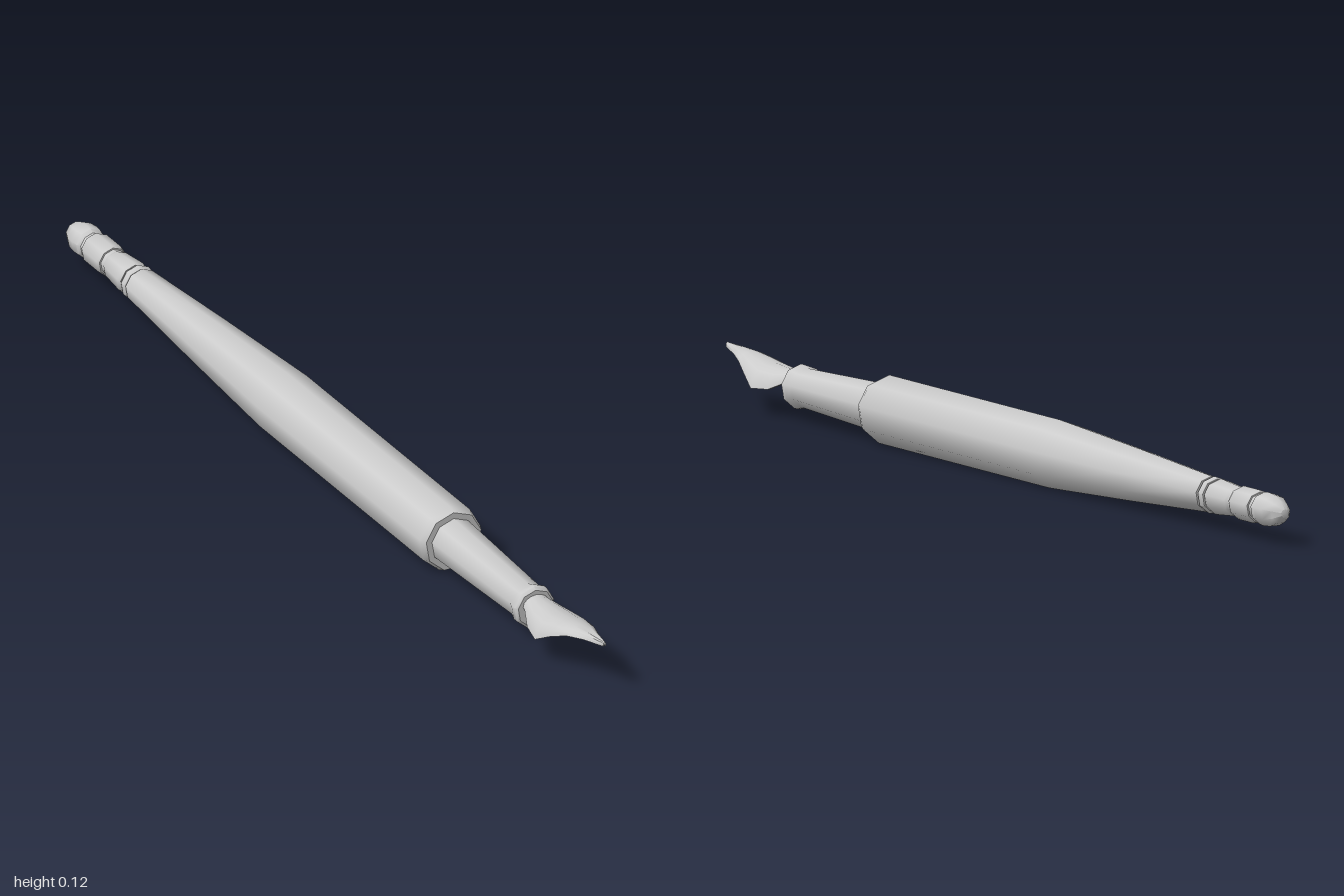
import * as THREE from 'three';
import { toCreasedNormals } from 'three/addons/utils/BufferGeometryUtils.js';

const AXIS_Y = 0.059; // height of the pen's long axis
const SIDES = 9;
const material = new THREE.MeshStandardMaterial({ color: 0xcccccc });

// Turned part along z, from [radius, z] pairs running back to front
function turned(name, profile) {
  const points = profile.map(([r, z]) => new THREE.Vector2(r, z));
  const geometry = new THREE.LatheGeometry(points, SIDES, Math.PI).rotateX(Math.PI / 2);
  const mesh = new THREE.Mesh(toCreasedNormals(geometry, 0.8), material);
  mesh.name = name;
  mesh.position.y = AXIS_Y;
  return mesh;
}

// Arched, pointed nib lofted from crescent cross-sections
function nib() {
  // z, half width, ridge height, side edge height
  const sections = [
    [0.72, 0.022, 0.086, 0.074],
    [0.75, 0.027, 0.086, 0.065],
    [0.785, 0.041, 0.087, 0.05],
    [0.83, 0.05, 0.09, 0.047],
    [0.87, 0.041, 0.095, 0.068],
    [0.91, 0.029, 0.1, 0.084],
    [0.95, 0.016, 0.103, 0.091],
    [1.0, 0.003, 0.105, 0.096],
  ];
  const n = 9, m = n * 2;
  const positions = [], index = [];
  for (const [z, w, ridge, edge] of sections) {
    for (let k = 0; k < m; k++) {
      const inner = k >= n;
      const j = inner ? m - 1 - k : k;
      const a = (j / (n - 1) - 0.5) * Math.PI;
      const width = inner ? Math.max(w - 0.005, w * 0.4) : w;
      const rise = (ridge - edge) - (inner ? 0.006 : 0);
      positions.push(width * Math.sin(a), edge + rise * Math.cos(a), z);
    }
  }
  for (let i = 0; i < sections.length - 1; i++) {
    for (let k = 0; k < m; k++) {
      const a = i * m + k, b = i * m + (k + 1) % m;
      index.push(a, a + m, b, b, a + m, b + m);
    }
  }
  // Close both ends
  const last = (sections.length - 1) * m;
  for (let j = 0; j < n - 1; j++) {
    const a = j, b = j + 1, c = m - 2 - j, d = m - 1 - j;
    index.push(a, b, c, a, c, d);
    index.push(last + a, last + c, last + b, last + a, last + d, last + c);
  }
  const geometry = new THREE.BufferGeometry();
  geometry.setAttribute('position', new THREE.Float32BufferAttribute(positions, 3));
  geometry.setIndex(index);
  const mesh = new THREE.Mesh(toCreasedNormals(geometry, 0.8), material);
  mesh.name = 'nib';
  return mesh;
}

export function createModel() {
  const pen = new THREE.Group();
  pen.name = 'pen';
  pen.add(
    // Rounded end and the beads divided by narrow grooves
    turned('finial', [
      [0, -1], [0.008, -0.997], [0.02, -0.982], [0.029, -0.96], [0.031, -0.94],
      [0.03, -0.925], [0.025, -0.918], [0, -0.918],
    ]),
    turned('finialCore', [[0, -0.93], [0.025, -0.93], [0.025, -0.74], [0, -0.74]]),
    turned('rearBead', [
      [0, -0.909], [0.028, -0.909], [0.031, -0.902], [0.031, -0.849], [0.028, -0.842], [0, -0.842],
    ]),
    turned('frontBead', [
      [0, -0.833], [0.025, -0.833], [0.028, -0.826], [0.033, -0.768], [0.03, -0.759], [0, -0.759],
    ]),
    turned('rearRing', [
      [0, -0.755], [0.031, -0.755], [0.034, -0.75], [0.034, -0.743], [0.031, -0.738], [0, -0.738],
    ]),
    // Long swelling handle with a bevelled shoulder
    turned('barrel', [
      [0, -0.735], [0.033, -0.735], [0.048, -0.48], [0.06, -0.25], [0.063, -0.19],
      [0.063, 0.42], [0.057, 0.435], [0, 0.435],
    ]),
    // Tapered grip ending in a small flared lip
    turned('grip', [
      [0.046, 0.42], [0.045, 0.44], [0.036, 0.71], [0.041, 0.725], [0.041, 0.736],
      [0.036, 0.742], [0, 0.742],
    ]),
    nib(),
  );
  return pen;
}
